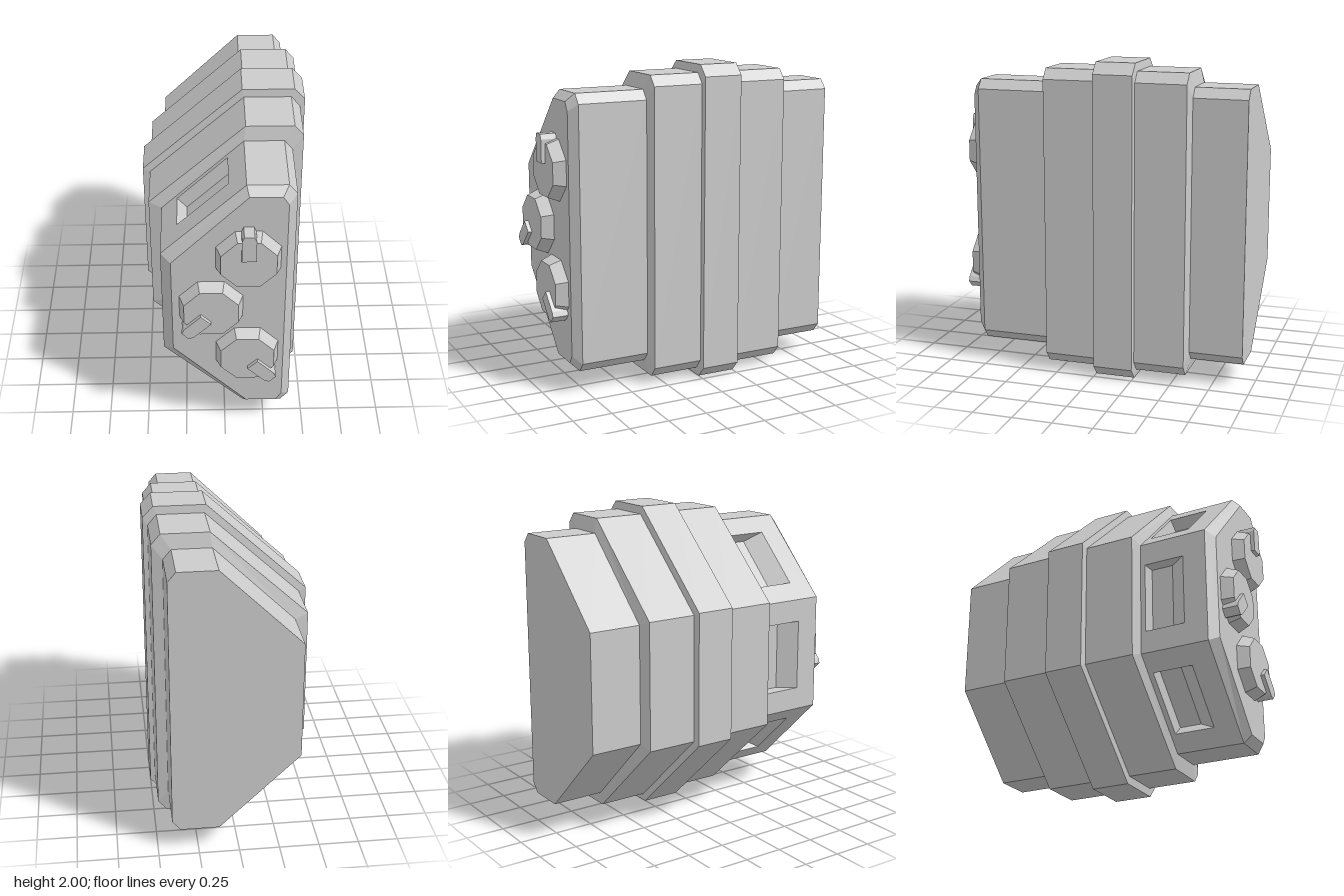
import * as THREE from 'three';

const material = new THREE.MeshStandardMaterial({ color: 0xcccccc, flatShading: true });

// Eight-sided outline, counter-clockwise from the front, mirrored about y = 1.
// xs: slanted side, top start, top end, flat side; hs: half heights of each corner.
function outline([xSide, xTop, xCorner, xFlat], [hSide, hTop, hFlat]) {
  const upper = [[xFlat, hFlat], [xCorner, hTop], [xTop, hTop], [xSide, hSide]];
  const lower = upper.map(([x, h]) => [x, -h]).reverse();
  return [...lower.slice(1), ...upper, lower[0]].map(([x, h]) => [x, 1 + h]);
}

const SMALL = outline([-0.38, 0.12, 0.36, 0.41], [0.375, 0.86, 0.8]);
const MIDDLE = outline([-0.46, 0.13, 0.42, 0.475], [0.405, 0.95, 0.885]);
const LARGE = outline([-0.505, 0.12, 0.44, 0.505], [0.425, 1, 0.93]);
const FRONT = outline([-0.32, 0.135, 0.325, 0.36], [0.34, 0.81, 0.755]);

// Stepped housing, back to front
const SECTIONS = [
  [-0.94, SMALL], [-0.602, SMALL],
  [-0.582, MIDDLE], [-0.26, MIDDLE],
  [-0.253, LARGE], [-0.002, LARGE],
  [0.005, MIDDLE], [0.328, MIDDLE],
  [0.348, SMALL], [0.79, SMALL], [0.84, FRONT],
];

function createHousing() {
  const tris = [];
  const tri = (a, b, c) => [a, b, c].forEach((p) => tris.push(p.x, p.y, p.z));
  const quad = (a, b, c, d) => { tri(a, b, c); tri(a, c, d); };
  const at = ([x, y], z) => new THREE.Vector3(x, y, z);

  // Joins two matching corner loops with a band of quads
  const bridge = (outer, inner) => outer.forEach((p, i) => {
    const j = (i + 1) % outer.length;
    quad(p, outer[j], inner[j], inner[i]);
  });

  // Wall panel with a scoop: steep at the rear, ramped toward the front
  function scoopedPanel(p, q, z0, z1) {
    const inward = new THREE.Vector3(p[1] - q[1], q[0] - p[0], 0).normalize().multiplyScalar(0.085);
    const point = (t, z) => at([p[0] + (q[0] - p[0]) * t, p[1] + (q[1] - p[1]) * t], z);
    const loop = (t0, t1, back, front) =>
      [point(t0, front), point(t0, back), point(t1, back), point(t1, front)];
    const opening = loop(0.195, 0.805, 0.38, 0.64);
    const floor = loop(0.195, 0.805, 0.388, 0.53).map((v) => v.add(inward));
    bridge(loop(0, 1, z0, z1), opening);
    bridge(opening, floor);
    quad(...floor);
  }

  for (let s = 0; s < SECTIONS.length - 1; s++) {
    const [z0, back] = SECTIONS[s];
    const [z1, front] = SECTIONS[s + 1];
    for (let i = 0; i < 8; i++) {
      const j = (i + 1) % 8;
      // Corners 5, 6 and 7 start the two slanted walls and the narrow side wall
      if (s === 8 && i >= 5) scoopedPanel(back[i], back[j], z0, z1);
      else quad(at(front[i], z1), at(back[i], z0), at(back[j], z0), at(front[j], z1));
    }
  }

  // End caps
  for (let i = 1; i < 7; i++) {
    tri(at(FRONT[0], 0.84), at(FRONT[i], 0.84), at(FRONT[i + 1], 0.84));
    tri(at(SMALL[0], -0.94), at(SMALL[i + 1], -0.94), at(SMALL[i], -0.94));
  }

  const geometry = new THREE.BufferGeometry();
  geometry.setAttribute('position', new THREE.Float32BufferAttribute(tris, 3));
  geometry.computeVertexNormals();
  const mesh = new THREE.Mesh(geometry, material);
  mesh.name = 'housing';
  return mesh;
}

// Tapered octagonal dial with a raised pointer
function createKnob(x, y, angle) {
  const knob = new THREE.Group();
  knob.name = 'knob';

  const k = Math.cos(Math.PI / 8);
  const dialGeometry = new THREE.CylinderGeometry(0.163 / k, 0.191 / k, 0.075, 8)
    .rotateY(Math.PI / 8).rotateX(Math.PI / 2).translate(0, 0, 0.0375);
  const dial = new THREE.Mesh(dialGeometry, material);
  dial.name = 'dial';

  const shape = new THREE.Shape([
    [-0.043, 0.045], [0.043, 0.045], [0.043, 0.19], [0.03, 0.222], [-0.03, 0.222], [-0.043, 0.19],
  ].map(([px, py]) => new THREE.Vector2(px, py)));
  const pointer = new THREE.Mesh(
    new THREE.ExtrudeGeometry(shape, { depth: 0.1, bevelEnabled: false }), material);
  pointer.name = 'pointer';
  pointer.rotation.z = angle;

  knob.add(dial, pointer);
  knob.position.set(x, y, 0.84);
  return knob;
}

export function createModel() {
  const model = new THREE.Group();
  model.name = 'controlBox';
  model.add(createHousing());
  model.add(createKnob(0.135, 1.38, 0));
  model.add(createKnob(-0.085, 1.005, Math.PI * 0.75));
  model.add(createKnob(0.135, 0.63, -Math.PI * 0.75));
  return model;
}
